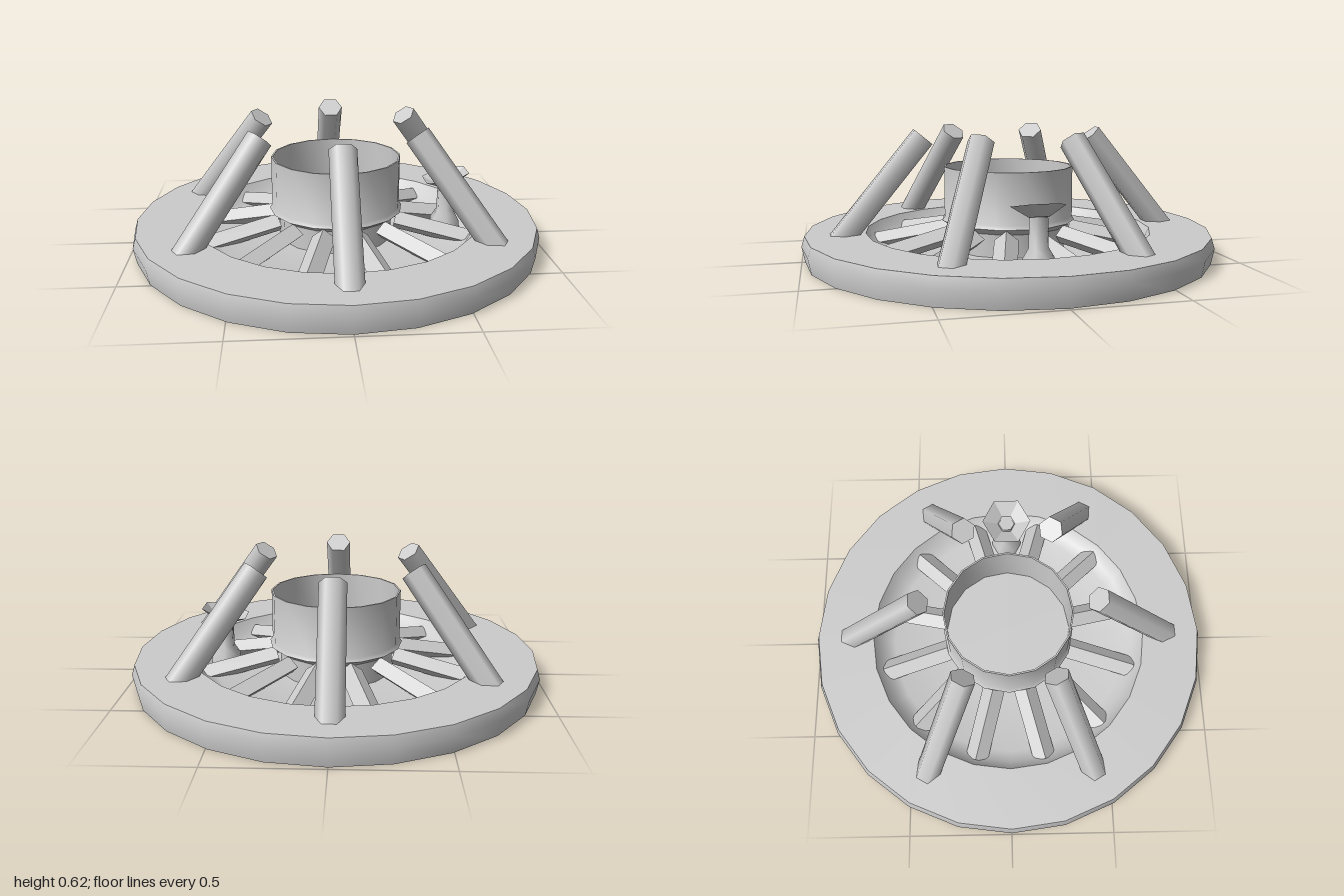
import * as THREE from 'three';
import { toCreasedNormals } from 'three/addons/utils/BufferGeometryUtils.js';

const rad = THREE.MathUtils.degToRad;
const smooth = new THREE.MeshStandardMaterial({ color: 0xcccccc });
const flat = new THREE.MeshStandardMaterial({ color: 0xcccccc, flatShading: true });
const thin = new THREE.MeshStandardMaterial({ color: 0xcccccc, side: THREE.DoubleSide });

function addMesh(parent, name, geometry, material = smooth) {
  const mesh = new THREE.Mesh(geometry, material);
  mesh.name = name;
  parent.add(mesh);
  return mesh;
}

// Turned shape from [radius, height] pairs, with sharp edges kept
function turned(profile, sides, crease = 0.9) {
  const points = profile.map(([r, y]) => new THREE.Vector2(r, y));
  return toCreasedNormals(new THREE.LatheGeometry(points, sides), crease);
}

// Repeats a part around the vertical axis, its local +x pointing outward
function ringOf(parent, name, count, startDegrees, build) {
  for (let i = 0; i < count; i++) {
    const arm = new THREE.Group();
    arm.name = name + (i + 1);
    arm.rotation.y = rad(startDegrees + (i * 360) / count);
    build(arm);
    parent.add(arm);
  }
}

export function createModel() {
  const model = new THREE.Group();
  model.name = 'circularStation';

  // Round base with a sunken bowl
  addMesh(model, 'base', turned([
    [0, 0], [0.985, 0], [1, 0.075], [0.985, 0.125], [0.7, 0.125],
    [0.655, 0.06], [0.6, 0.04], [0.3, 0.03], [0, 0.03],
  ], 24));

  // Open central drum with a flared foot and a raised floor
  addMesh(model, 'drum', turned([
    [0.28, 0.02], [0.28, 0.14], [0.33, 0.172], [0.318, 0.19], [0.318, 0.435],
    [0.31, 0.435], [0.31, 0.2], [0, 0.2],
  ], 16, 0.75));

  // Ridged spokes sloping from the drum down to the bowl's edge
  const spokeGeometry = new THREE.CylinderGeometry(0.056, 0.056, 0.37, 4);
  spokeGeometry.scale(0.8, 1, 1);
  ringOf(model, 'spoke', 12, 15, (arm) => {
    const spoke = addMesh(arm, 'spokeBar', spokeGeometry, flat);
    spoke.position.set(0.48, 0.085, 0);
    spoke.rotation.z = rad(79);
  });

  // Six-sided posts leaning inward
  const top = new THREE.Vector2(0.42, 0.583);
  const foot = new THREE.Vector2(0.833, 0.08);
  const postGeometry = new THREE.CylinderGeometry(0.0625, 0.0625, top.distanceTo(foot), 6);
  ringOf(model, 'post', 6, 30, (arm) => {
    const post = addMesh(arm, 'leaningPost', postGeometry);
    post.position.set((top.x + foot.x) / 2, (top.y + foot.y) / 2, 0);
    post.rotation.z = Math.atan2(foot.x - top.x, top.y - foot.y);
  });

  // Small dish antenna on a stem
  const antenna = new THREE.Group();
  antenna.name = 'antenna';
  antenna.position.x = 0.555;
  addMesh(antenna, 'antennaStem', turned([
    [0.08, 0.03], [0.075, 0.09], [0.045, 0.14], [0.042, 0.285], [0, 0.285],
  ], 6, 1.2));
  const dish = addMesh(antenna, 'antennaDish', turned([
    [0, -0.05], [0.045, -0.05], [0.125, 0],
  ], 6, 0.5), thin);
  dish.position.set(-0.005, 0.322, 0);
  dish.rotation.z = rad(13);
  model.add(antenna);

  return model;
}
